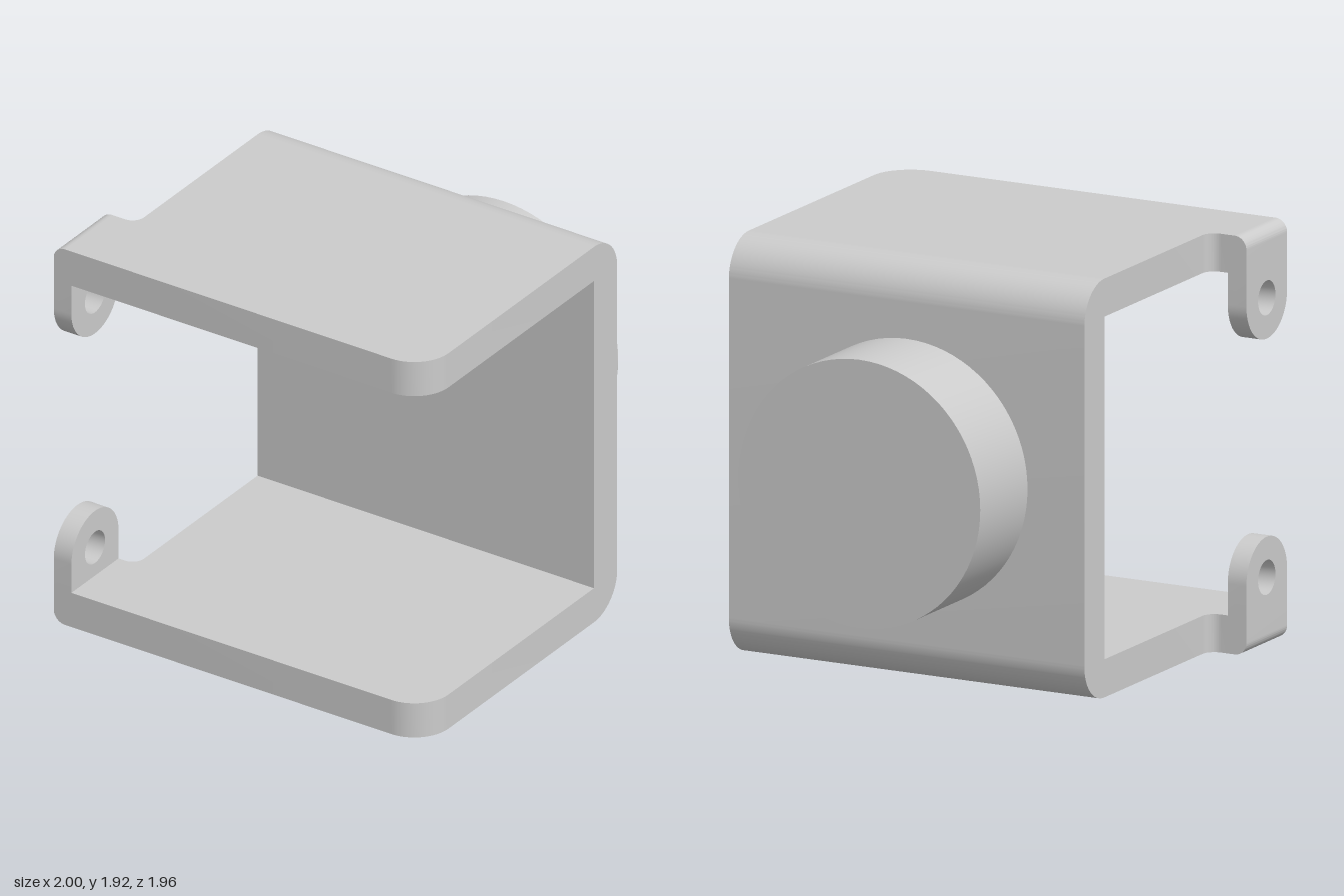
import * as THREE from 'three';
import { toCreasedNormals } from 'three/addons/utils/BufferGeometryUtils.js';

const H = 1.925, T = 0.175;              // overall height, plate thickness
const BACK = -0.545, INNER = -0.36, FRONT = 0.98;
const LEFT = 1, RIGHT = -0.81, EDGE = -1;
const R = 0.185;                         // large corner radius
const EAR_Z = 0.605, EAR_MID = (EAR_Z + FRONT) / 2;

const material = new THREE.MeshStandardMaterial({ color: 0xcccccc });

function extrude(shape, depth) {
  return new THREE.ExtrudeGeometry(shape, { depth, bevelEnabled: false, curveSegments: 20 });
}

function part(name, geometry, parent) {
  const mesh = new THREE.Mesh(toCreasedNormals(geometry, 0.5), material);
  mesh.name = name;
  parent.add(mesh);
  return mesh;
}

// Extrudes a (z, y) profile along x from x0 to x1
function alongX(shape, x0, x1) {
  return extrude(shape, x1 - x0).rotateY(-Math.PI / 2).translate(x1, 0, 0);
}

export function createModel() {
  const model = new THREE.Group();
  model.name = 'bracket';

  // Back wall with rounded outer corners
  const wall = new THREE.Shape();
  wall.moveTo(INNER, 0);
  wall.lineTo(INNER, H);
  wall.absarc(INNER, H - R, R, Math.PI / 2, Math.PI, false);
  wall.lineTo(BACK, R);
  wall.absarc(INNER, R, R, Math.PI, Math.PI * 1.5, false);
  part('backWall', alongX(wall, RIGHT, LEFT), model);

  // Top and bottom plates, outlined in (x, -z)
  const bend = 0.06, joint = EDGE + bend;
  const plate = new THREE.Shape();
  plate.moveTo(RIGHT, -INNER);
  plate.lineTo(LEFT, -INNER);
  plate.lineTo(LEFT, -FRONT + R);
  plate.absarc(LEFT - R, -FRONT + R, R, 0, -Math.PI / 2, true);
  plate.lineTo(joint, -FRONT);
  plate.lineTo(joint, -EAR_Z);
  plate.lineTo(RIGHT - bend, -EAR_Z);
  plate.absarc(RIGHT - bend, -EAR_Z + bend, bend, -Math.PI / 2, 0, false);
  plate.closePath();
  for (const [name, y] of [['bottomPlate', 0], ['topPlate', H - T]]) {
    part(name, extrude(plate, T).rotateX(-Math.PI / 2).translate(0, y, 0), model);
  }

  // Hinge ears, built about the centre of symmetry; the lower is turned over
  const half = H / 2, earR = (FRONT - EAR_Z) / 2, inside = half - T, earY = 1.605 - half;
  const strip = new THREE.Shape();
  strip.moveTo(joint, inside);
  strip.lineTo(joint, half);
  strip.absarc(joint, half - bend, bend, Math.PI / 2, Math.PI, false);
  strip.lineTo(EDGE, inside);
  strip.closePath();

  const tab = new THREE.Shape();
  tab.moveTo(earR, inside);
  tab.lineTo(-earR, inside);
  tab.lineTo(-earR, earY);
  tab.absarc(0, earY, earR, Math.PI, Math.PI * 2, false);
  tab.closePath();
  const hole = new THREE.Path();
  hole.absarc(0, earY, 0.08, 0, Math.PI * 2, true);
  tab.holes.push(hole);

  for (const [name, turn] of [['upperEar', 0], ['lowerEar', Math.PI]]) {
    const ear = new THREE.Group();
    ear.name = name;
    part('earEdge', extrude(strip, earR * 2).translate(0, 0, -earR), ear);
    part('earTab', alongX(tab, EDGE, -0.905), ear);
    ear.position.set(0, half, EAR_MID);
    ear.rotation.x = turn;
    model.add(ear);
  }

  // Round boss on the back
  const depth = 0.98 + BACK;
  const boss = new THREE.CylinderGeometry(0.616, 0.616, depth, 80).rotateX(Math.PI / 2);
  part('boss', boss, model).position.set(0.095, half, BACK - depth / 2);

  return model;
}
